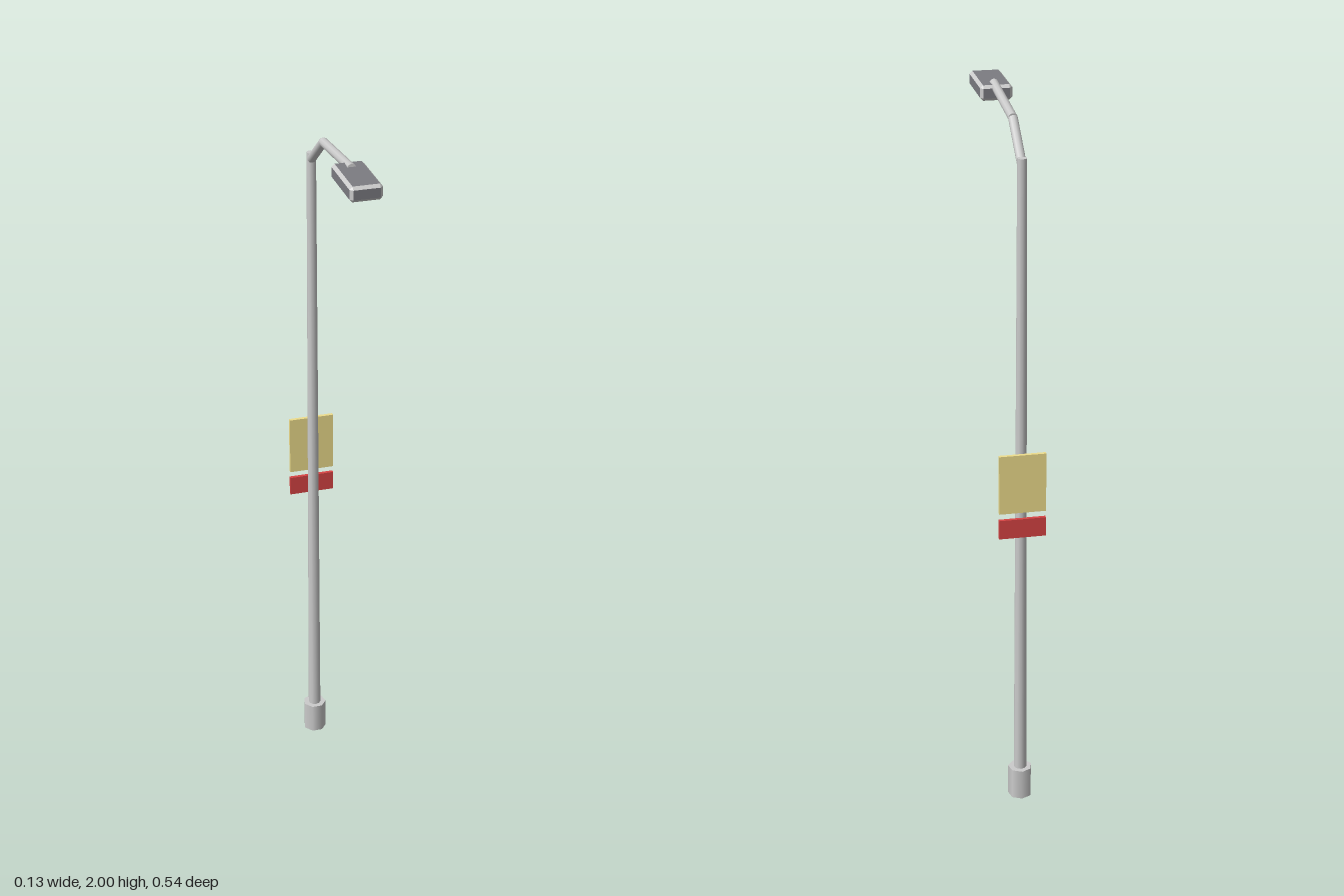
import * as THREE from 'three';
import { ConvexGeometry } from 'three/addons/geometries/ConvexGeometry.js';

const POLE_Z = -0.238;

const grey = () => new THREE.MeshStandardMaterial({ color: 0xcccccc });
const tinted = (color) => new THREE.MeshStandardMaterial({ color });

function add(parent, name, geometry, material, x = 0, y = 0, z = 0) {
  const mesh = new THREE.Mesh(geometry, material);
  mesh.name = name;
  mesh.position.set(x, y, z);
  parent.add(mesh);
  return mesh;
}

// Straight capped pipe between two points
function addPipe(parent, name, a, b, r0, r1, sides) {
  const dir = b.clone().sub(a);
  const pipe = add(parent, name, new THREE.CylinderGeometry(r1, r0, dir.length(), sides), grey());
  pipe.position.copy(a).lerp(b, 0.5);
  pipe.quaternion.setFromUnitVectors(new THREE.Vector3(0, 1, 0), dir.normalize());
}

// Box with one-step bevels, split into its flat panels and its bevel faces
function bevelledBox(w, h, d, bevel) {
  const half = [w / 2, h / 2, d / 2];
  const points = [];
  for (const sx of [-1, 1]) for (const sy of [-1, 1]) for (const sz of [-1, 1]) {
    for (let axis = 0; axis < 3; axis++) {
      const c = half.map((v, i) => (i === axis ? v : v - bevel));
      points.push(new THREE.Vector3(c[0] * sx, c[1] * sy, c[2] * sz));
    }
  }
  const hull = new ConvexGeometry(points);
  const pos = hull.attributes.position;
  const tri = new THREE.Triangle();
  const normal = new THREE.Vector3();
  const sets = { panels: [], bevels: [] };
  for (let i = 0; i < pos.count; i += 3) {
    tri.setFromAttributeAndIndices(pos, i, i + 1, i + 2);
    tri.getNormal(normal);
    const flat = Math.max(Math.abs(normal.x), Math.abs(normal.y), Math.abs(normal.z)) > 0.99;
    (flat ? sets.panels : sets.bevels).push(tri.a.clone(), tri.b.clone(), tri.c.clone());
  }
  const build = (list) => {
    const g = new THREE.BufferGeometry().setFromPoints(list);
    g.computeVertexNormals();
    return g;
  };
  return { panels: build(sets.panels), bevels: build(sets.bevels) };
}

export function createModel() {
  const model = new THREE.Group();
  model.name = 'streetLamp';

  // Footing and tapered pole
  const footing = add(model, 'footing', new THREE.CylinderGeometry(0.034, 0.034, 0.09, 7), grey(), 0, 0.045, POLE_Z);
  footing.rotation.y = Math.PI;
  add(model, 'pole', new THREE.CylinderGeometry(0.0128, 0.0182, 1.89, 10), grey(), 0, 0.945, POLE_Z);

  // Bent arm made of two pipes
  const root = new THREE.Vector3(0, 1.87, POLE_Z);
  const bend = new THREE.Vector3(0, 1.962, -0.12);
  const tip = new THREE.Vector3(0, 1.987, 0.138);
  addPipe(model, 'armLower', root, bend, 0.0125, 0.0125, 10);
  addPipe(model, 'armUpper', bend, tip, 0.0125, 0.0125, 10);

  // Lamp head: dark panels with light bevels
  const head = new THREE.Group();
  head.name = 'lampHead';
  head.position.set(0, 1.97, 0.183);
  model.add(head);
  const box = bevelledBox(0.087, 0.042, 0.173, 0.008);
  add(head, 'lampPanels', box.panels, tinted(0x7c7c82));
  add(head, 'lampBevels', box.bevels, grey());

  // Sign plates on the back of the pole
  const signs = [
    ['upperSign', 0.17, 0.99, 0xeedd8c],
    ['lowerSign', 0.055, 0.858, 0xd84444],
  ];
  for (const [name, height, y, color] of signs) {
    add(model, name, new THREE.BoxGeometry(0.129, height, 0.01), tinted(color), 0, y, -0.257);
  }

  return model;
}
